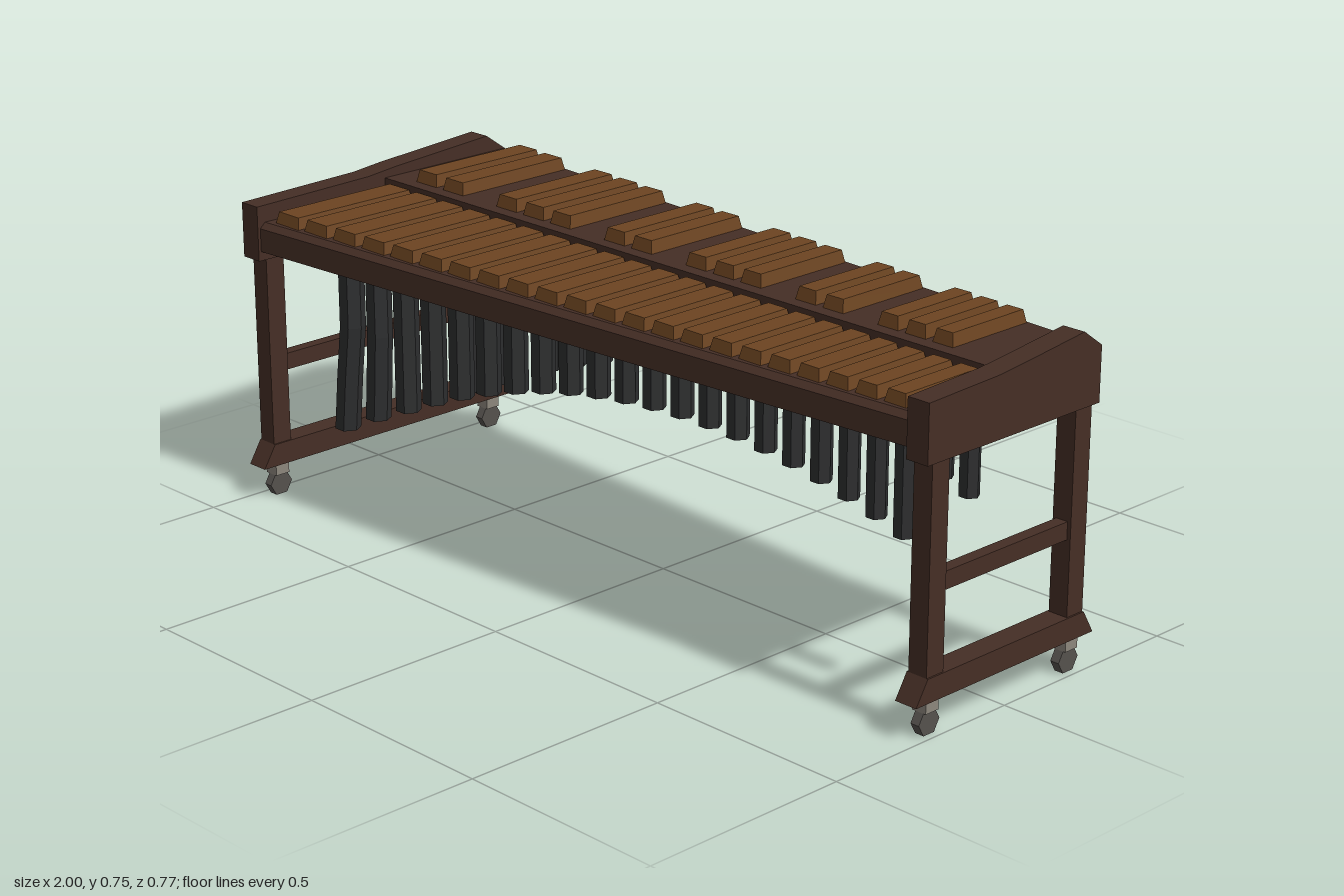
import * as THREE from 'three';

const mat = (name, color) => Object.assign(new THREE.MeshStandardMaterial({ color, flatShading: true }), { name });

// Joins convex rings of [x, y, z] points into a closed, flat-shaded solid
function loft(rings) {
  const n = rings[0].length, tris = [];
  for (let r = 0; r < rings.length - 1; r++) {
    for (let i = 0; i < n; i++) {
      const j = (i + 1) % n;
      const a = rings[r][i], b = rings[r][j], c = rings[r + 1][j], d = rings[r + 1][i];
      tris.push([a, b, c], [a, c, d]);
    }
  }
  const first = rings[0], last = rings[rings.length - 1];
  for (let i = 1; i < n - 1; i++) {
    tris.push([first[0], first[i + 1], first[i]], [last[0], last[i], last[i + 1]]);
  }
  // Turn all faces outward if the enclosed volume is negative
  const V = (p) => new THREE.Vector3(...p);
  const volume = tris.reduce((s, [a, b, c]) => s + V(a).dot(V(b).cross(V(c))), 0);
  if (volume < 0) tris.forEach((t) => t.reverse());
  const geo = new THREE.BufferGeometry();
  geo.setAttribute('position', new THREE.Float32BufferAttribute(tris.flat(2), 3));
  geo.computeVertexNormals();
  return geo;
}

export function createModel() {
  const frameMat = mat('dark wood frame', 0x452e25);
  const barMat = mat('rosewood bars', 0x6c4421);
  const tubeMat = mat('charcoal resonators', 0x2e2f30);
  const stemMat = mat('caster stem metal', 0x8c867c);
  const wheelMat = mat('caster wheel rubber', 0x55514d);

  const model = new THREE.Group();
  model.name = 'marimba';
  const add = (name, geo, material, parent = model) => {
    const mesh = new THREE.Mesh(geo, material);
    mesh.name = name;
    parent.add(mesh);
    return mesh;
  };
  const box = (name, w, h, d, x, y, z, material, parent) =>
    add(name, new THREE.BoxGeometry(w, h, d), material, parent).position.set(x, y, z);
  // Extrudes a (z, y) outline across x
  const slab = (points, width, x) => {
    const shape = new THREE.Shape(points.map((p) => new THREE.Vector2(...p)));
    return new THREE.ExtrudeGeometry(shape, { depth: width, bevelEnabled: false })
      .rotateY(-Math.PI / 2).translate(x + width / 2, 0, 0);
  };

  // End stands: shaped cheek, legs, rung, flared foot and casters
  const ends = [
    { name: 'wideEnd', x: -0.972, zf: 0.378, zb: -0.377, legs: [0.33, -0.33] },
    { name: 'narrowEnd', x: 0.972, zf: 0.258, zb: -0.264, legs: [0.214, -0.22] },
  ];
  for (const { name, x, zf, zb, legs } of ends) {
    const end = new THREE.Group();
    end.name = name;
    model.add(end);
    add('cheek', slab([[zf, 0.59], [zf, 0.72], [0.05, 0.727], [-0.03, 0.735],
      [zb + 0.057, 0.755], [zb, 0.714], [zb, 0.59]], 0.056, x), frameMat, end);
    const [lf, lb] = legs;
    add('foot', slab([[lf + 0.058, 0.08], [lf + 0.025, 0.134],
      [lb - 0.025, 0.134], [lb - 0.057, 0.08]], 0.056, x), frameMat, end);
    box('rung', 0.03, 0.04, lf - lb, x, 0.325, (lf + lb) / 2, frameMat, end);
    for (const z of legs) {
      box('leg', 0.048, 0.46, 0.05, x, 0.362, z, frameMat, end);
      box('casterStem', 0.036, 0.03, 0.038, x, 0.066, z - 0.002, stemMat, end);
      const wheel = new THREE.CylinderGeometry(0.031, 0.031, 0.022, 6).rotateZ(Math.PI / 2);
      add('casterWheel', wheel, wheelMat, end).position.set(x, 0.027, z - 0.002);
    }
  }

  // Tapering decks, the rear one a step higher
  const frontEdge = (x) => 0.365 - (x + 0.945) * 0.0645;
  const backEdge = (x) => -0.372 + (x + 0.945) * 0.06;
  const xs = [-0.946, 0.946];
  add('frontDeck', loft(xs.map((x) => {
    const z = frontEdge(x);
    return [[x, 0.612, 0], [x, 0.612, z + 0.006], [x, 0.667, z + 0.006], [x, 0.68, z - 0.008], [x, 0.68, 0]];
  })), frameMat);
  add('rearDeck', loft(xs.map((x) => {
    const z = backEdge(x);
    return [[x, 0.66, 0], [x, 0.66, z], [x, 0.714, z], [x, 0.714, 0]];
  })), frameMat);

  // Playing bar with sloping sides
  const bar = (name, x, w, z0, z1, y, h) => {
    const ring = (inset, py) => [
      [x - w / 2 + inset, py, z0 + inset], [x + w / 2 - inset, py, z0 + inset],
      [x + w / 2 - inset, py, z1 - inset], [x - w / 2 + inset, py, z1 - inset]];
    add(name, loft([ring(0, y), ring(0.006, y + h)]), barMat);
  };

  // Six-sided resonator; the lowest ones lean outward toward the bottom
  const resonator = (name, x, r, z, top) => {
    const bottom = 0.45 - 0.268 * (x - 0.2) ** 2;
    const lean = Math.min(0, (x + 0.7) * 0.17);
    const ring = (px, y) => Array.from({ length: 6 }, (_, i) => {
      const a = (i * Math.PI) / 3;
      return [px + r * Math.cos(a), y, z + r * Math.sin(a)];
    });
    const rings = [ring(x, top)];
    if (lean < 0) rings.push(ring(x, 0.4), ring(x + lean * 0.55, 0.27));
    rings.push(ring(x + lean, bottom));
    add(name, loft(rings), tubeMat);
  };

  // Bars and resonators narrow steadily toward the high notes
  const noteX = (n) => -0.88 + 0.0964 * n - 0.000588 * n * n;
  const step = (n) => 0.0964 - 0.00118 * n;
  for (let n = 0; n < 22; n++) {
    const x = noteX(n);
    bar('naturalBar', x, step(n) - 0.014, 0.003, frontEdge(x) - 0.018, 0.679, 0.028);
    resonator('naturalResonator', x, step(n) * 0.32, 0.135 - x * 0.03, 0.614);
    // Raised bars sit between naturals, skipping two gaps in each octave
    if (n < 21 && n % 7 !== 2 && n % 7 !== 6) {
      const m = n + 0.5, sx = noteX(m);
      bar('raisedBar', sx, step(m) * 0.75, backEdge(sx) + 0.006, -0.033, 0.713, 0.03);
      resonator('raisedResonator', sx, step(m) * 0.32, -0.148 + sx * 0.022, 0.662);
    }
  }
  return model;
}
